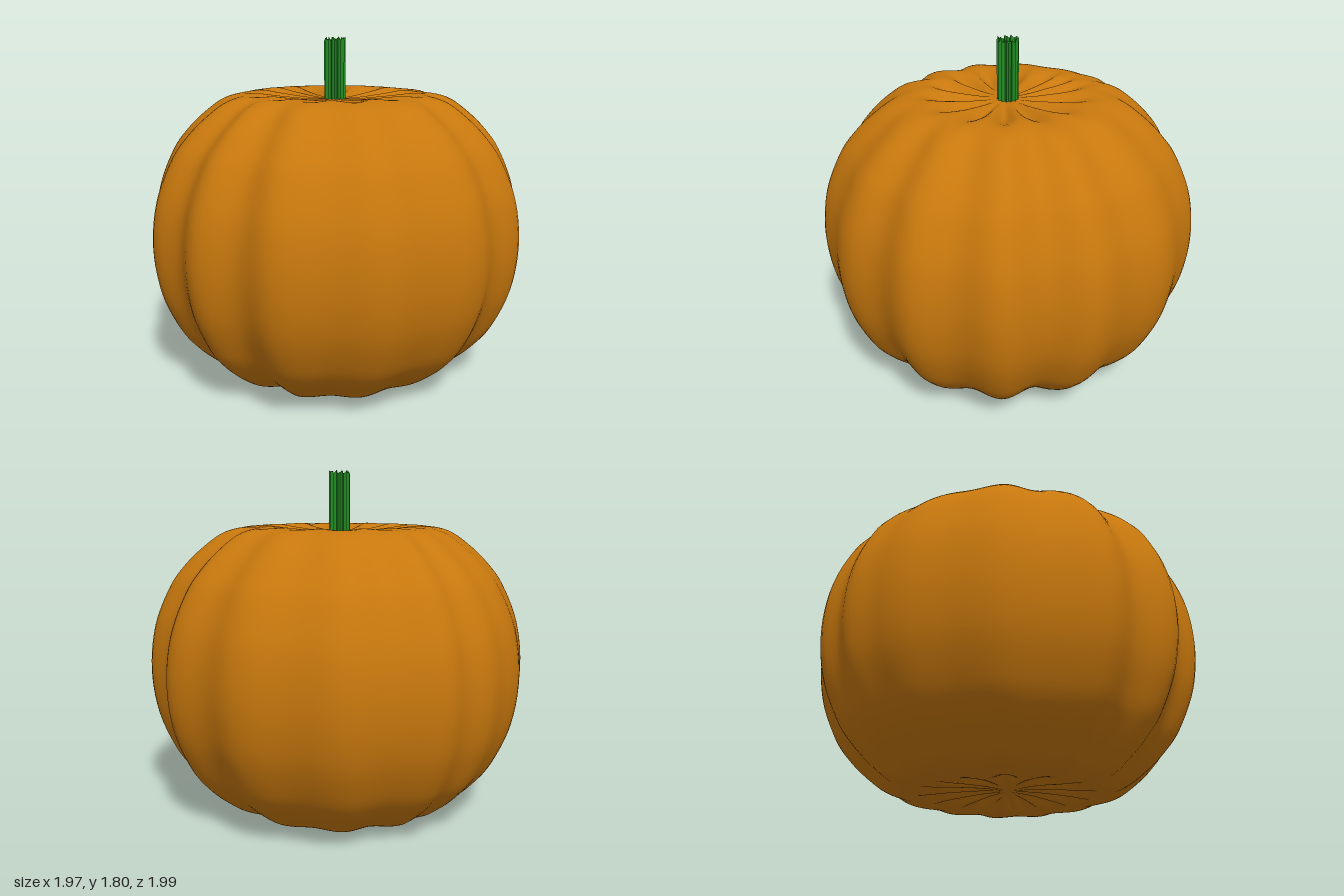
import * as THREE from 'three';
import { mergeVertices } from 'three/addons/utils/BufferGeometryUtils.js';

// Ribs round the body: [angle from the front towards +x in degrees, tip radius, depth of the groove after it]
const RIBS = [
  [0, 0.99, 0.06], [25, 0.99, 0.035], [54, 0.99, 0.035], [84, 0.99, 0.05], [110, 1.01, 0.05],
  [135, 1.025, 0.07], [161, 1.015, 0.04], [187, 1.008, 0.03], [216, 1.015, 0.045], [244, 1.012, 0.03],
  [260, 1.0, 0.012], [277, 0.985, 0.02], [306, 0.99, 0.04], [335, 0.99, 0.06], [360, 0.99, 0.06],
];

// Radius at the widest level, and how close the angle is to a rib tip (1) or a groove (0)
function ribAt(angle) {
  const deg = ((THREE.MathUtils.radToDeg(angle) % 360) + 360) % 360;
  let i = 0;
  while (i < RIBS.length - 2 && deg >= RIBS[i + 1][0]) i++;
  const [a0, r0, depth] = RIBS[i];
  const [a1, r1] = RIBS[i + 1];
  const t = (deg - a0) / (a1 - a0);
  const tip = 0.5 + 0.5 * Math.cos(t * Math.PI * 2);
  return { radius: r0 + (r1 - r0) * t - depth * (1 - tip), tip };
}

function bodyGeometry() {
  const MID = 0.755;
  // Upper half of the profile, mirrored for the lower half
  const upper = [
    [0.985, 0], [0.955, 0.24], [0.87, 0.445], [0.785, 0.56], [0.69, 0.65],
    [0.58, 0.725], [0.45, 0.755], [0.3, 0.742], [0.13, 0.725], [0, 0.722],
  ];
  const points = [
    ...upper.slice(1).reverse().map(([r, h]) => new THREE.Vector2(r, MID - h)),
    ...upper.map(([r, h]) => new THREE.Vector2(r, MID + h)),
  ];
  const profile = new THREE.SplineCurve(points).getPoints(90);
  profile.forEach((p) => { p.x = Math.max(0, p.x); });
  profile[0].x = profile[90].x = 0;

  let geometry = new THREE.LatheGeometry(profile, 168);
  const pos = geometry.attributes.position;
  for (let i = 0; i < pos.count; i++) {
    const x = pos.getX(i), y = pos.getY(i), z = pos.getZ(i);
    const r = Math.hypot(x, z);
    if (r < 1e-4) continue;
    const angle = Math.atan2(x, z);
    const { radius, tip } = ribAt(angle);
    // Ribs fade out towards the poles, where creases run in to the stem
    const newR = r + (radius - 0.985) * THREE.MathUtils.smoothstep(r, 0.12, 0.6);
    const crease = 0.035 * tip * Math.exp(-Math.pow((r - 0.28) / 0.13, 2));
    pos.setXYZ(i, Math.sin(angle) * newR, y - Math.sign(y - MID) * crease, Math.cos(angle) * newR);
  }
  geometry.deleteAttribute('uv');
  geometry.deleteAttribute('normal');
  geometry = mergeVertices(geometry, 1e-4);
  geometry.computeVertexNormals();
  return geometry;
}

// Fluted stalk with a ragged upper edge
function stemGeometry() {
  const SIDES = 28;
  const geometry = new THREE.CylinderGeometry(0.052, 0.052, 0.36, SIDES, 1, true);
  const pos = geometry.attributes.position;
  for (let i = 0; i < pos.count; i++) {
    const k = i % (SIDES + 1) % SIDES;
    const flute = k % 2 ? 0.8 : 1.08;
    const top = pos.getY(i) > 0;
    const ragged = top ? 0.022 * (0.5 + 0.5 * Math.sin(k * 2.4)) : 0;
    pos.setXYZ(i, pos.getX(i) * flute, pos.getY(i) - ragged, pos.getZ(i) * flute);
  }
  return geometry.toNonIndexed();
}

export function createModel() {
  const orange = new THREE.MeshStandardMaterial({ color: 0xc8780d });
  orange.name = 'pumpkin orange';
  const green = new THREE.MeshStandardMaterial({ color: 0x228b22, flatShading: true, side: THREE.DoubleSide });
  green.name = 'stem green';

  const model = new THREE.Group();
  model.name = 'pumpkin';

  const body = new THREE.Mesh(bodyGeometry(), orange);
  body.name = 'body';

  const stem = new THREE.Group();
  stem.name = 'stem';
  stem.position.set(-0.002, 1.62, -0.015);
  const stalk = new THREE.Mesh(stemGeometry(), green);
  stalk.name = 'stalk';
  // Recessed end inside the ragged edge
  const end = new THREE.Mesh(new THREE.CircleGeometry(0.045, 14), green);
  end.name = 'stalkEnd';
  end.rotation.x = -Math.PI / 2;
  end.position.y = 0.145;
  stem.add(stalk, end);

  model.add(body, stem);
  return model;
}
